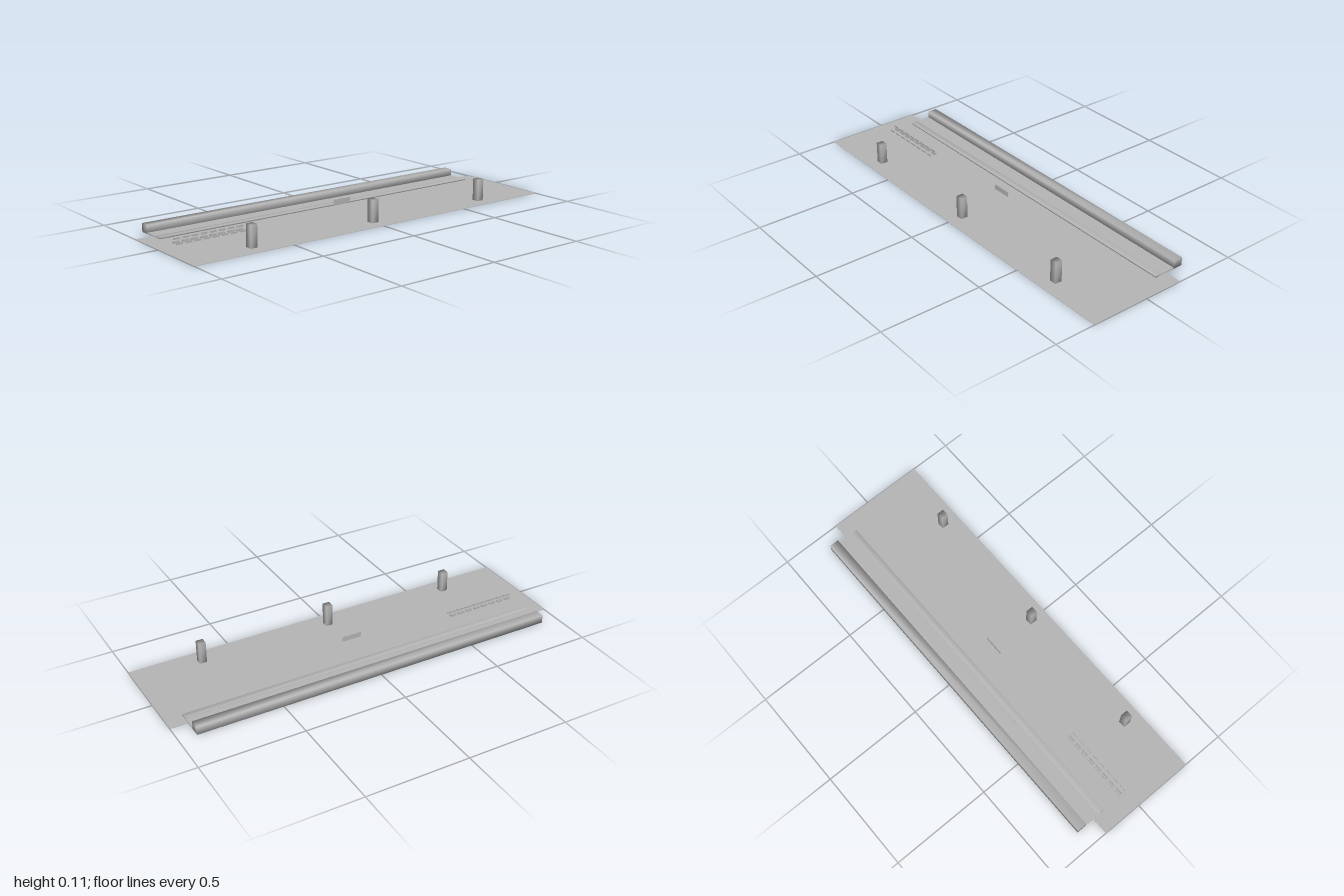
import * as THREE from 'three';
import { mergeVertices } from 'three/addons/utils/BufferGeometryUtils.js';

const gray = new THREE.MeshStandardMaterial({ color: 0xb6b6b6, side: THREE.DoubleSide });
gray.name = 'concreteGray';

// Box given by its limits; smooth boxes share normals across their corners
function block(name, [x0, x1], [y0, y1], [z0, z1], smooth = false) {
  let geo = new THREE.BoxGeometry(x1 - x0, y1 - y0, z1 - z0);
  if (smooth) {
    geo.deleteAttribute('normal');
    geo.deleteAttribute('uv');
    geo = mergeVertices(geo);
    geo.computeVertexNormals();
  }
  const mesh = new THREE.Mesh(geo, gray);
  mesh.name = name;
  mesh.position.set((x0 + x1) / 2, (y0 + y1) / 2, (z0 + z1) / 2);
  return mesh;
}

export function createModel() {
  const model = new THREE.Group();
  model.name = 'plaza';

  // Thin ground sheet
  model.add(block('ground', [-1, 1], [0.0005, 0.002], [-0.2, 0.295]));

  // Long rear beam, platform and its raised front lip
  const span = [-0.915, 0.915];
  model.add(block('rearBeam', span, [0, 0.041], [-0.295, -0.247], true));
  model.add(block('platform', span, [0.0008, 0.0065], [-0.253, -0.155]));
  model.add(block('platformLip', span, [0.001, 0.0095], [-0.17, -0.137], true));

  // Three front posts
  [[-0.667, 0.107], [0, 0.111], [0.667, 0.109]].forEach(([x, h]) => {
    model.add(block('post', [x - 0.0175, x + 0.0175], [0, h], [0.197, 0.232], true));
  });

  // Flat central panel
  const panel = new THREE.Mesh(new THREE.PlaneGeometry(0.1, 0.025), gray);
  panel.name = 'centrePanel';
  panel.position.set(0, 0.054, -0.02);
  model.add(panel);

  // Rows of small slats on the right side
  const slats = new THREE.Group();
  slats.name = 'slatRows';
  const rows = [[-0.003, 0.005], [-0.027, 0.005], [-0.036, 0.005], [-0.027, 0.022]];
  for (let i = 0; i < 8; i++) {
    const x = -0.895 + i * 0.0465;
    for (const [z, y] of rows) {
      slats.add(block('slat', [x - 0.0165, x + 0.0165], [y, y + 0.009], [z - 0.0015, z + 0.0015]));
    }
  }
  model.add(slats);
  return model;
}
